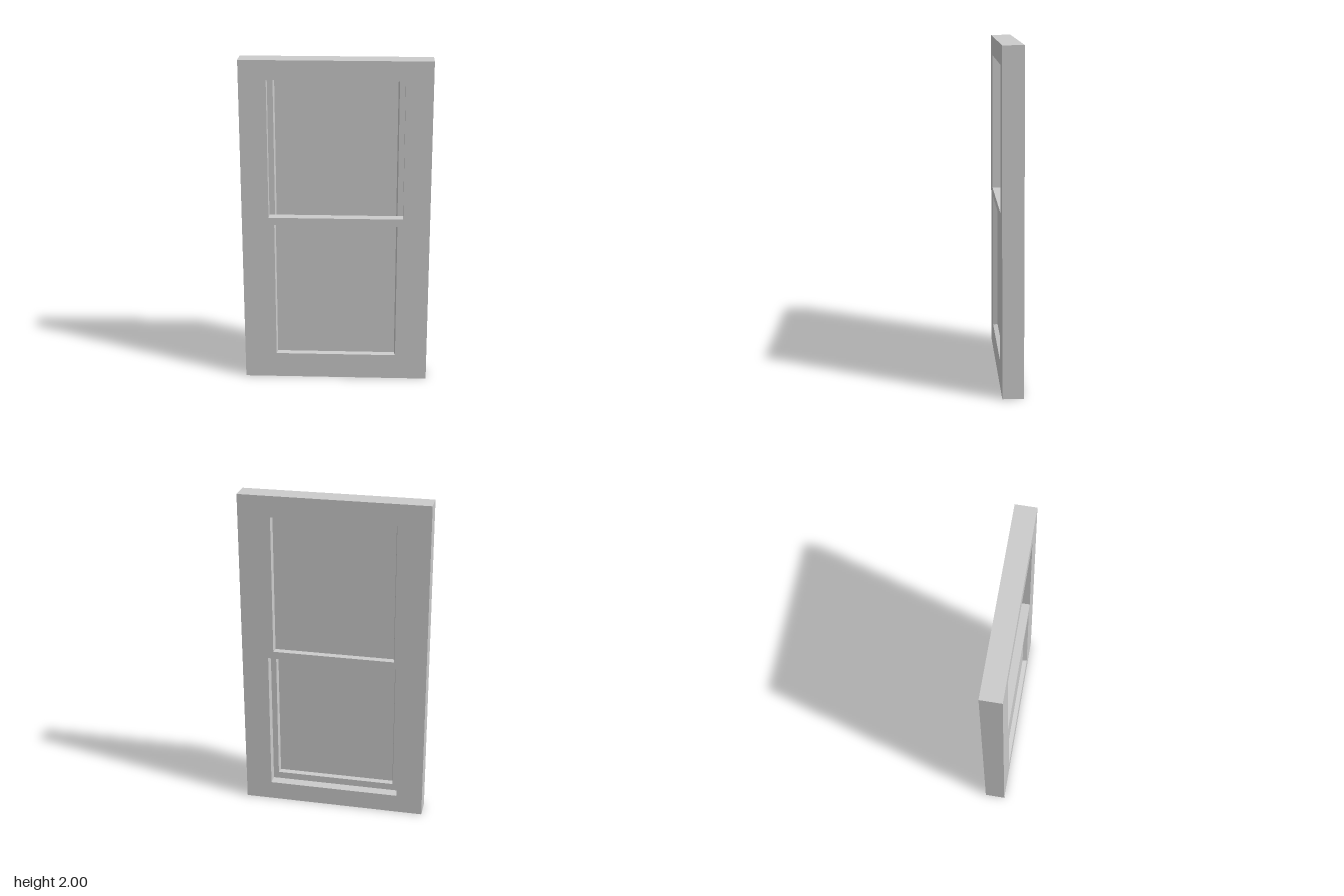
import * as THREE from 'three';

const material = new THREE.MeshStandardMaterial({ color: 0xcccccc, flatShading: true });
const HALF_DEPTH = 0.062;

// Corners of a rectangle, counter-clockwise seen from the front
const corners = ({ x, bottom, top }) => [[-x, bottom], [x, bottom], [x, top], [-x, top]];

function addMesh(parent, geometry, name) {
  const mesh = new THREE.Mesh(geometry, material);
  mesh.name = name;
  parent.add(mesh);
  return mesh;
}

// Closed rectangular ring: each station of the cross-section is a rectangle at depth z
function ringGeometry(stations) {
  const positions = [], index = [];
  stations.forEach(({ rect, z }) => corners(rect).forEach(([x, y]) => positions.push(x, y, z)));
  const n = stations.length;
  for (let s = 0; s < n; s++) {
    const t = (s + 1) % n;
    for (let i = 0; i < 4; i++) {
      const j = (i + 1) % 4;
      const a = s * 4 + i, b = s * 4 + j, c = t * 4 + j, d = t * 4 + i;
      index.push(a, b, c, a, c, d);
    }
  }
  const indexed = new THREE.BufferGeometry();
  indexed.setAttribute('position', new THREE.Float32BufferAttribute(positions, 3));
  indexed.setIndex(index);
  const geometry = indexed.toNonIndexed();
  geometry.computeVertexNormals();
  return geometry;
}

// Sash with bevelled inner edges on both faces and a pane at mid depth
function createSash(name, outer, inner, zBack, zFront) {
  const sash = new THREE.Group();
  sash.name = name;
  const mid = (zBack + zFront) / 2;
  const bevel = 0.008;
  const lip = { x: inner.x - bevel, bottom: inner.bottom + bevel, top: inner.top - bevel };
  addMesh(sash, ringGeometry([
    { rect: outer, z: zFront },
    { rect: inner, z: zFront },
    { rect: lip, z: mid },
    { rect: inner, z: zBack },
    { rect: outer, z: zBack },
  ]), name + 'Frame');
  const pane = addMesh(sash, new THREE.BoxGeometry(2 * inner.x, inner.top - inner.bottom, 0.006), name + 'Pane');
  pane.position.set(0, (inner.top + inner.bottom) / 2, mid);
  return sash;
}

export function createModel() {
  const model = new THREE.Group();
  model.name = 'sashWindow';

  // Outer casing
  const casing = { x: 0.56, bottom: 0, top: 2 };
  const opening = { x: 0.4, bottom: 0.115, top: 1.885 };
  addMesh(model, ringGeometry([
    { rect: casing, z: HALF_DEPTH },
    { rect: opening, z: HALF_DEPTH },
    { rect: opening, z: -HALF_DEPTH },
    { rect: casing, z: -HALF_DEPTH },
  ]), 'casing');

  // Lower sash in front, upper sash behind, overlapping at the meeting rails
  model.add(createSash('lowerSash',
    { x: 0.4, bottom: 0.115, top: 1.05 },
    { x: 0.367, bottom: 0.158, top: 1.004 }, 0.001, HALF_DEPTH));
  model.add(createSash('upperSash',
    { x: 0.4, bottom: 0.985, top: 1.885 },
    { x: 0.367, bottom: 1.03, top: 1.873 }, -HALF_DEPTH, -0.001));

  return model;
}
